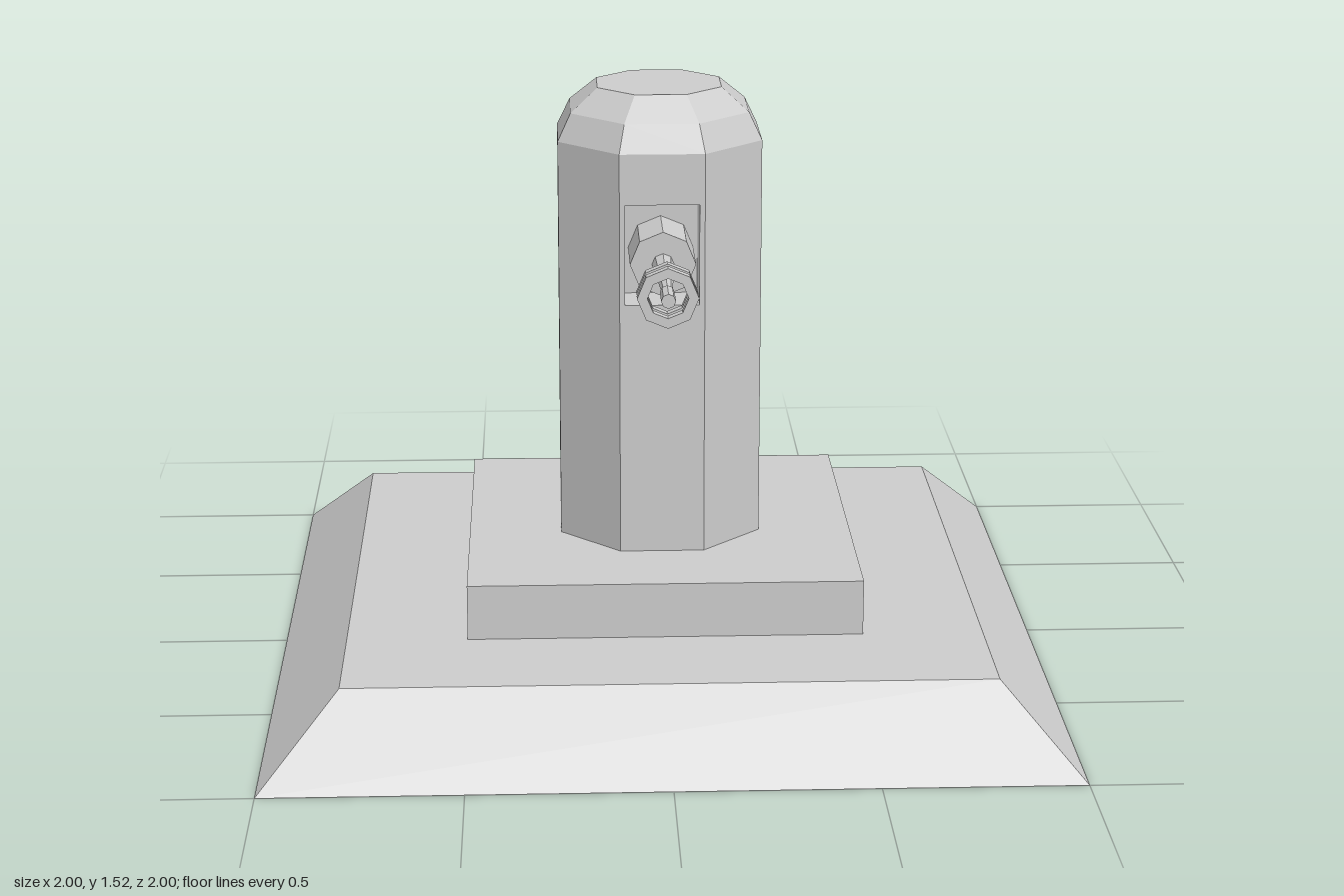
import * as THREE from 'three';

const stone = new THREE.MeshStandardMaterial({ color: 0xcccccc, flatShading: true });
stone.name = 'light grey';

function add(parent, name, geometry, x = 0, y = 0, z = 0) {
  const mesh = new THREE.Mesh(geometry, stone);
  mesh.name = name;
  mesh.position.set(x, y, z);
  parent.add(mesh);
  return mesh;
}

// Tapered eight-sided rod lying along z, from z0 to z1
function rod(parent, name, r0, r1, z0, z1) {
  const g = new THREE.CylinderGeometry(r1, r0, z1 - z0, 8).rotateX(Math.PI / 2);
  return add(parent, name, g, 0, 0, (z0 + z1) / 2);
}

export function createModel() {
  const model = new THREE.Group();
  model.name = 'turret';

  // Sloped square base and plinth
  const base = new THREE.CylinderGeometry(0.805 * Math.SQRT2, Math.SQRT2, 0.197, 4).rotateY(Math.PI / 4);
  add(model, 'base', base, 0, 0.0985, 0);
  add(model, 'plinth', new THREE.BoxGeometry(1, 0.143, 1), 0, 0.2685, 0);

  // Octagonal tower: seven plain sides, plus a front panel with an opening
  const apothem = 0.26, bottom = 0.34, shoulder = 1.39;
  const toCorner = 1 / Math.cos(Math.PI / 8);
  const radius = apothem * toCorner;
  const half = apothem * Math.tan(Math.PI / 8);
  const sides = new THREE.CylinderGeometry(radius, radius, shoulder - bottom, 7, 1, true,
    Math.PI / 8, Math.PI * 7 / 4);
  add(model, 'towerSides', sides, 0, (bottom + shoulder) / 2, 0);

  const rect = (Type, w, y0, y1) => new Type([
    [-w, y0], [w, y0], [w, y1], [-w, y1]].map(([x, y]) => new THREE.Vector2(x, y)));
  const panel = rect(THREE.Shape, half, bottom, shoulder);
  panel.holes.push(rect(THREE.Path, 0.094, 1.0, 1.26));
  const depth = 0.12;
  add(model, 'frontPanel', new THREE.ExtrudeGeometry(panel, { depth, bevelEnabled: false }),
    0, 0, apothem - depth);
  add(model, 'recessBack', new THREE.BoxGeometry(0.2, 0.28, 0.02), 0, 1.13, apothem - depth - 0.01);

  // Bevelled cap
  const profile = [[apothem, shoulder], [0.227, 1.46], [0.158, 1.52], [0, 1.52]]
    .map(([r, y]) => new THREE.Vector2(r * toCorner, y));
  add(model, 'cap', new THREE.LatheGeometry(profile, 8, Math.PI / 8));

  // Gun with mount, tapered barrel, muzzle and two open rings
  const gun = new THREE.Group();
  gun.name = 'gun';
  gun.position.y = 1.12;
  model.add(gun);
  rod(gun, 'mount', 0.083, 0.083, apothem - depth, 0.31);
  rod(gun, 'barrel', 0.028, 0.01, 0.31, 0.63);
  rod(gun, 'muzzle', 0.018, 0.018, 0.57, 0.652);
  const ringProfile = [[0.05, -0.0125], [0.075, -0.0125], [0.075, 0.0125], [0.05, 0.0125], [0.05, -0.0125]]
    .map(([r, y]) => new THREE.Vector2(r, y));
  for (const z of [0.573, 0.615]) {
    add(gun, 'muzzleRing', new THREE.LatheGeometry(ringProfile, 8).rotateX(Math.PI / 2), 0, 0, z);
  }
  return model;
}
